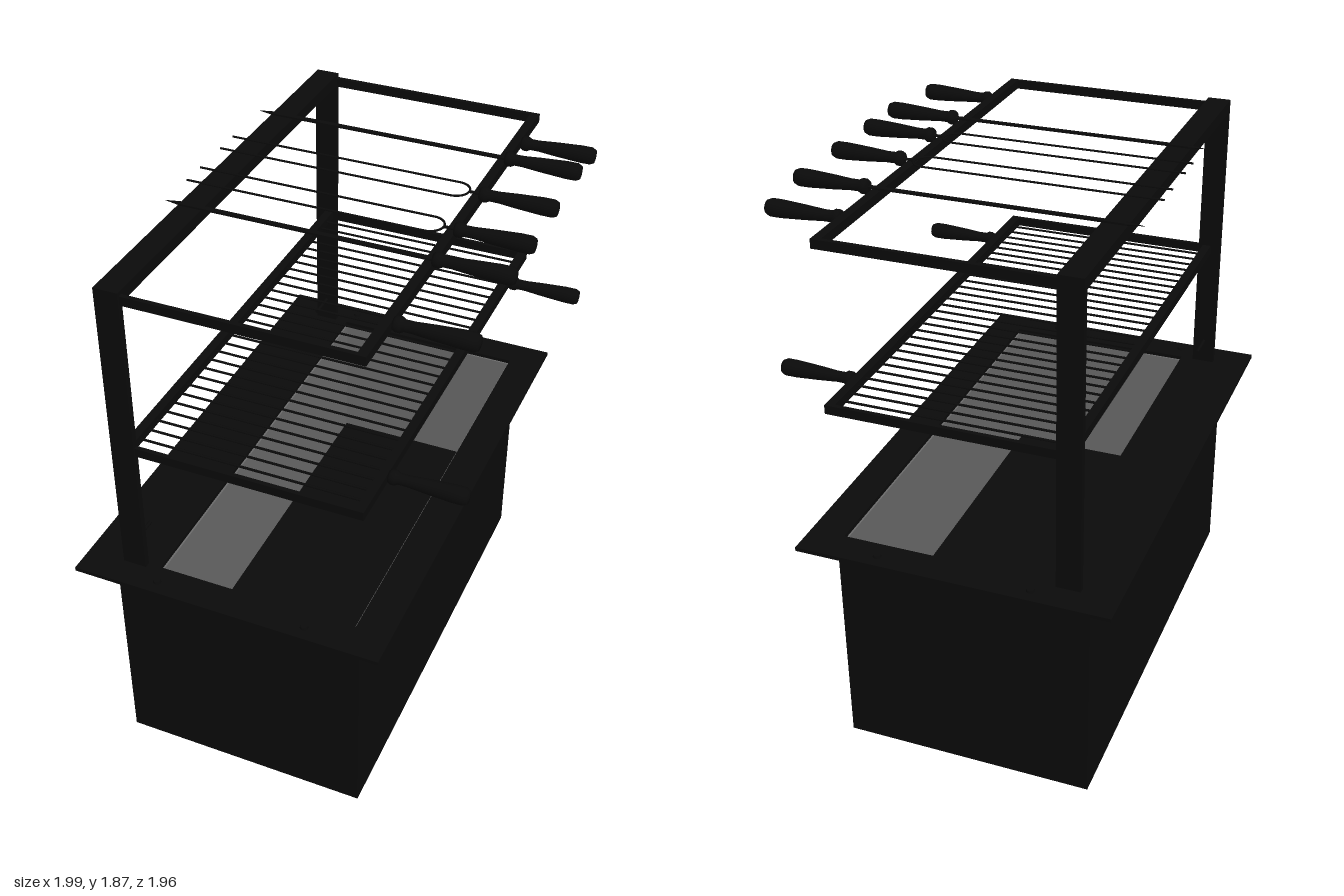
import * as THREE from 'three';

const black = new THREE.MeshStandardMaterial({ color: 0x0a0a0a });
const grey = new THREE.MeshStandardMaterial({ color: 0x6a6a6a });

function add(parent, name, geometry, x = 0, y = 0, z = 0, material = black) {
  const mesh = new THREE.Mesh(geometry, material);
  mesh.name = name;
  mesh.position.set(x, y, z);
  parent.add(mesh);
  return mesh;
}

const box = (w, h, d) => new THREE.BoxGeometry(w, h, d);

// Rod or bar running along z between two depths
function rod(parent, name, x, y, z0, z1, r) {
  const m = add(parent, name, new THREE.CylinderGeometry(r, r, z1 - z0, 8), x, y, (z0 + z1) / 2);
  m.rotation.x = Math.PI / 2;
  return m;
}

// Inner opening of the firebox (the back wall is thicker than the front)
const X = 0.767, BACK = -0.27, FRONT = 0.405;

// Horizontal plate of the given size with the firebox opening cut out
function ringPlate(w, d, h) {
  const s = new THREE.Shape([
    new THREE.Vector2(-w / 2, -d / 2), new THREE.Vector2(w / 2, -d / 2),
    new THREE.Vector2(w / 2, d / 2), new THREE.Vector2(-w / 2, d / 2)]);
  s.holes.push(new THREE.Path([
    new THREE.Vector2(-X, -FRONT), new THREE.Vector2(-X, -BACK),
    new THREE.Vector2(X, -BACK), new THREE.Vector2(X, -FRONT)]));
  const g = new THREE.ExtrudeGeometry(s, { depth: h, bevelEnabled: false });
  return g.rotateX(-Math.PI / 2);
}

// Turned handle: collar, slim neck, flared rounded end, pointing along +z
function handle(parent, name, x, y, z) {
  const profile = [[0, 0], [0.019, 0], [0.024, 0.008], [0.024, 0.022], [0.018, 0.032],
    [0.018, 0.06], [0.023, 0.12], [0.028, 0.2], [0.028, 0.235], [0.022, 0.248], [0, 0.252]];
  const g = new THREE.LatheGeometry(profile.map(p => new THREE.Vector2(...p)), 16);
  add(parent, name, g, x, y, z).rotation.x = Math.PI / 2;
}

// Rectangular frame that hangs from the posts, with two handles
function rackFrame(parent, y) {
  const h = 0.03;
  add(parent, 'rackFrontBar', box(1.56, h, 0.03), 0, y, 0.415);
  add(parent, 'rackBackBar', box(1.56, h, 0.03), 0, y, -0.345);
  for (const s of [-1, 1]) {
    add(parent, 'rackSideBar', box(0.015, h, 0.76), s * 0.7725, y, 0.035);
    handle(parent, 'rackHandle', s * 0.58, y, 0.43);
  }
}

export function createModel() {
  const model = new THREE.Group();
  model.name = 'barbecue';
  const grill = new THREE.Group();
  grill.name = 'grill';
  grill.rotation.y = 0.754;
  model.add(grill);

  // Firebox
  const floorY = 0.3, rimY = 0.787;
  add(grill, 'fireboxBase', box(1.56, floorY, 0.85), 0, floorY / 2, 0);
  add(grill, 'fireboxWalls', ringPlate(1.56, 0.85, rimY - floorY), 0, floorY, 0);
  add(grill, 'rim', ringPlate(1.753, 1.045, 0.013), 0, rimY, 0);

  // Grey lining on the inner walls
  const lh = rimY - floorY, ly = floorY + lh / 2, t = 0.006, mid = (BACK + FRONT) / 2;
  for (const z of [BACK + t / 2, FRONT - t / 2])
    add(grill, 'lining', box(2 * X, lh, t), 0, ly, z, grey);
  for (const s of [-1, 1])
    add(grill, 'lining', box(t, lh, FRONT - BACK - 2 * t), s * (X - t / 2), ly, mid, grey);

  // Posts with support pegs, and bolts on the rim
  for (const s of [-1, 1]) {
    add(grill, 'post', box(0.02, 1.037, 0.08), s * 0.775, 1.3185, -0.355);
    add(grill, 'peg', new THREE.CylinderGeometry(0.006, 0.006, 0.1, 8), s * 0.72, 0.885, -0.355)
      .rotation.z = Math.PI / 2;
    for (const z of [-0.25, 0.26])
      add(grill, 'bolt', new THREE.CylinderGeometry(0.012, 0.014, 0.008, 12), s * 0.83, 0.803, z);
  }
  add(grill, 'topBeam', box(1.57, 0.04, 0.08), 0, 1.817, -0.355);

  // Upper rack holding the skewers
  const upper = new THREE.Group();
  upper.name = 'upperRack';
  grill.add(upper);
  rackFrame(upper, 1.81);

  // Lower rack with grate rods
  const lower = new THREE.Group();
  lower.name = 'grateRack';
  grill.add(lower);
  rackFrame(lower, 1.267);
  const count = 29;
  for (let i = 1; i <= count; i++)
    rod(lower, 'grateRod', -0.765 + 1.53 * i / (count + 1), 1.267, -0.345, 0.415, 0.004);

  // Flat blade skewers
  const sy = 1.84;
  for (const x of [-0.27, 0.4]) {
    const skewer = new THREE.Group();
    skewer.name = 'bladeSkewer';
    skewer.position.set(x, sy, 0);
    grill.add(skewer);
    add(skewer, 'blade', box(0.018, 0.006, 0.82), 0, 0, 0.025);
    const tip = add(skewer, 'bladeTip', new THREE.ConeGeometry(0.0127, 0.06, 4, 1), 0, 0, -0.415);
    tip.geometry.rotateY(Math.PI / 4).scale(1, 1, 0.33).rotateX(-Math.PI / 2);
    handle(skewer, 'skewerHandle', 0, 0, 0.43);
  }

  // Two-pronged skewers
  for (const x of [-0.085, 0.147]) {
    const fork = new THREE.Group();
    fork.name = 'forkSkewer';
    fork.position.set(x, sy, 0);
    grill.add(fork);
    const r = 0.045, bend = 0.35;
    for (const s of [-1, 1]) rod(fork, 'prong', s * r, 0, -0.44, bend, 0.0035);
    const arc = add(fork, 'forkBend', new THREE.TorusGeometry(r, 0.0035, 8, 16, Math.PI), 0, 0, bend);
    arc.rotation.x = Math.PI / 2;
    rod(fork, 'forkStem', 0, 0, bend + r, 0.44, 0.005);
    handle(fork, 'skewerHandle', 0, 0, 0.43);
  }
  return model;
}
